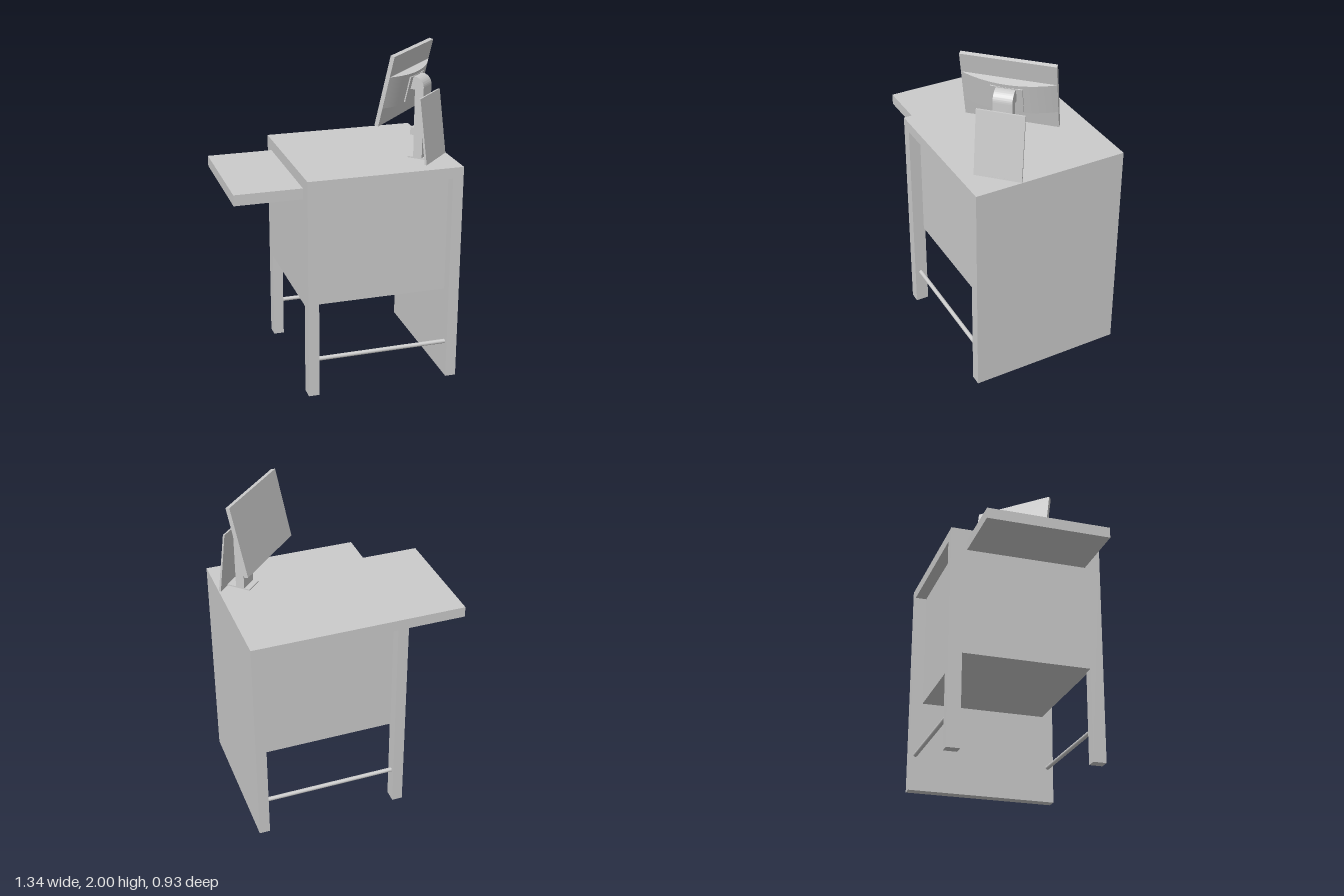
import * as THREE from 'three';
import { toCreasedNormals } from 'three/addons/utils/BufferGeometryUtils.js';

const material = new THREE.MeshStandardMaterial({ color: 0xcccccc });

function add(parent, name, geometry) {
  const mesh = new THREE.Mesh(geometry, material);
  mesh.name = name;
  parent.add(mesh);
  return mesh;
}

// Box given by its lower and upper limits on each axis
function box(parent, name, [x0, x1], [y0, y1], [z0, z1]) {
  const mesh = add(parent, name, new THREE.BoxGeometry(x1 - x0, y1 - y0, z1 - z0));
  mesh.position.set((x0 + x1) / 2, (y0 + y1) / 2, (z0 + z1) / 2);
  return mesh;
}

function extrude(shape, depth) {
  const g = new THREE.ExtrudeGeometry(shape, { depth, bevelEnabled: false, curveSegments: 20 });
  return toCreasedNormals(g.translate(0, 0, -depth / 2), 0.5);
}

function buildCounter() {
  const counter = new THREE.Group();
  counter.name = 'counter';
  const D = 0.467, top = 1.35, under = 1.285, legDepth = 0.08, recess = 0.07;

  box(counter, 'counterTop', [-0.27, 0.665], [under, top], [-D, D]);
  box(counter, 'sidePanel', [0.6, 0.665], [0, under], [-D, D]);
  box(counter, 'cabinet', [-0.205, 0.6], [0.56, under], [-D + recess, D - recess]);
  box(counter, 'cabinetSide', [-0.27, -0.205], [0.56, under], [-D + legDepth, D - legDepth]);
  box(counter, 'sideShelf', [-0.67, -0.27], [1.215, 1.28], [-0.37, 0.37]);

  // Legs and foot rails, front and back
  for (const s of [-1, 1]) {
    const leg = box(counter, 'leg', [-0.27, -0.205], [0, under], [-legDepth / 2, legDepth / 2]);
    leg.position.z = s * (D - legDepth / 2);
    const rail = add(counter, 'footRail', new THREE.CylinderGeometry(0.013, 0.013, 0.805, 20));
    rail.rotation.z = Math.PI / 2;
    rail.position.set(0.1975, 0.223, s * (D - 0.037));
  }
  return counter;
}

// Built along its own axes (x across, z to the rear), then turned 45 degrees
function buildMonitor() {
  const monitor = new THREE.Group();
  monitor.name = 'monitor';
  const midX = 0.203;

  // Tilted screen with a curved rear housing
  const screen = new THREE.Group();
  screen.name = 'screen';
  screen.position.set(midX, 1.79, 0.382);
  screen.rotation.x = 0.225;
  monitor.add(screen);
  add(screen, 'screenPanel', new THREE.BoxGeometry(0.535, 0.425, 0.025));
  const bulge = new THREE.Shape();
  bulge.moveTo(-0.267, 0);
  bulge.lineTo(0.267, 0);
  bulge.quadraticCurveTo(0, 0.11, -0.267, 0);
  const housing = add(screen, 'rearHousing', extrude(bulge, 0.19).rotateX(Math.PI / 2));
  housing.position.set(0, -0.005, 0.0125);
  box(screen, 'mountPlate', [-0.09, 0.09], [-0.085, 0.07], [0.03, 0.069]);

  // Arm rising from the counter and bending over to the screen
  const arm = new THREE.Shape();
  arm.moveTo(0.475, 1.35);
  arm.lineTo(0.53, 1.35);
  arm.lineTo(0.53, 1.78);
  arm.absarc(0.47, 1.78, 0.06, 0, Math.PI / 2, false);
  arm.lineTo(0.42, 1.83);
  arm.lineTo(0.42, 1.765);
  arm.lineTo(0.475, 1.765);
  arm.closePath();
  const armMesh = add(monitor, 'arm', extrude(arm, 0.11).rotateY(-Math.PI / 2));
  armMesh.position.x = midX;
  box(monitor, 'armClip', [midX - 0.05, midX + 0.05], [1.49, 1.535], [0.45, 0.475]);
  box(monitor, 'armFoot', [midX - 0.055, midX + 0.055], [1.35, 1.358], [0.44, 0.6]);

  // Leaning customer display plate behind the arm
  const plate = new THREE.Shape();
  [[0.588, 1.35], [0.601, 1.35], [0.55, 1.737], [0.54, 1.737]].forEach(([z, y], i) =>
    i ? plate.lineTo(z, y) : plate.moveTo(z, y));
  const plateMesh = add(monitor, 'rearPlate', extrude(plate, 0.275).rotateY(-Math.PI / 2));
  plateMesh.position.x = midX - 0.004;

  monitor.rotation.y = Math.PI / 4;
  return monitor;
}

export function createModel() {
  const model = new THREE.Group();
  model.name = 'checkoutCounter';
  model.add(buildCounter(), buildMonitor());
  return model;
}
